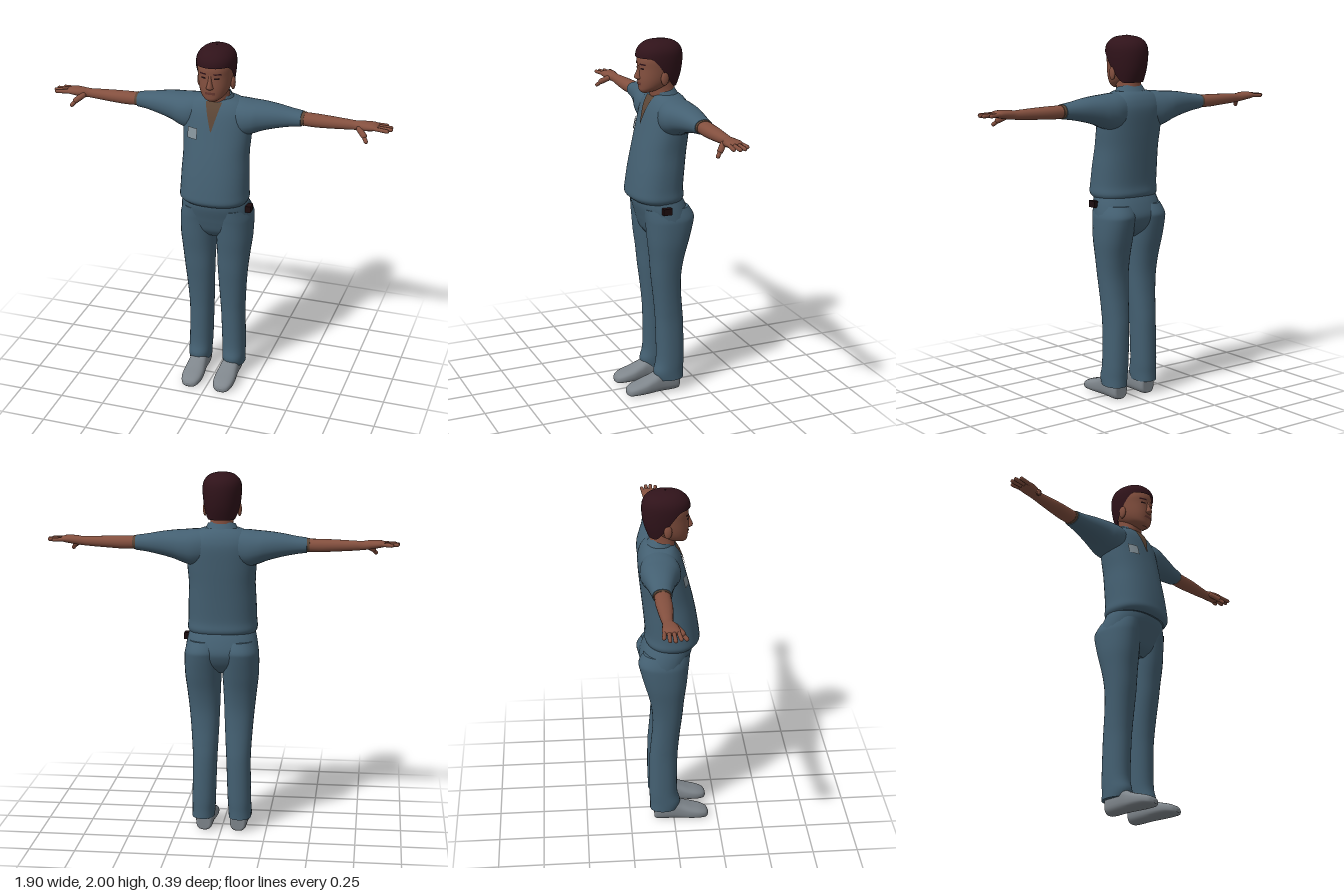
import * as THREE from 'three';

const mat = (name, color, side = THREE.FrontSide) => {
  const m = new THREE.MeshStandardMaterial({ color, side });
  m.name = name;
  return m;
};

// Densify cross-section rows with a Catmull-Rom curve
function smooth(rows, k = 5) {
  const out = [];
  const at = i => rows[Math.min(rows.length - 1, Math.max(0, i))];
  for (let i = 0; i < rows.length - 1; i++)
    for (let s = 0; s < k; s++) {
      const t = s / k, [a, b, c, d] = [at(i - 1), at(i), at(i + 1), at(i + 2)];
      out.push(b.map((v, n) => 0.5 * (2 * v + (c[n] - a[n]) * t
        + (2 * a[n] - 5 * v + 4 * c[n] - d[n]) * t * t + (3 * v - a[n] - 3 * c[n] + d[n]) * t * t * t)));
    }
  out.push(rows[rows.length - 1]);
  return out;
}

// Linear lookup of a row by its first value
function sample(rows, v) {
  let i = 0;
  while (i < rows.length - 2 && rows[i + 1][0] < v) i++;
  const a = rows[i], b = rows[i + 1], t = THREE.MathUtils.clamp((v - a[0]) / (b[0] - a[0]), 0, 1);
  return a.map((x, n) => x + (b[n] - x) * t);
}

// Point on a superellipse section; row = [position, a0, a1, b0, b1]
function ringPoint([v, a0, a1, b0, b1], th, axis, p) {
  const c = Math.cos(th), s = Math.sin(th), e = 2 / p;
  const a = (a0 + a1) / 2 + (a1 - a0) / 2 * Math.sign(c) * Math.abs(c) ** e;
  const k = (axis === 'y' ? 1 : -1) * Math.sign(s) * Math.abs(s) ** e;
  const b = (b0 + b1) / 2 + (b1 - b0) / 2 * k;
  return axis === 'y' ? [a, v, b] : axis === 'x' ? [v, a, b] : [a, Math.max(0, b), v];
}

// Skin a grid of points; each ring runs round and wraps
function skin(rings, caps = true) {
  const n = rings[0].length, pos = rings.flat(2), idx = [];
  for (let i = 0; i < rings.length - 1; i++)
    for (let j = 0; j < n; j++) {
      const a = i * n + j, b = i * n + (j + 1) % n;
      idx.push(a, a + n, b, b, a + n, b + n);
    }
  if (caps) [rings[0], rings[rings.length - 1]].forEach((ring, end) => {
    const base = pos.length / 3;
    const mid = [0, 1, 2].map(k => ring.reduce((s, q) => s + q[k], 0) / n);
    pos.push(...ring.flat(), ...mid);
    for (let j = 0; j < n; j++) {
      const a = base + j, b = base + (j + 1) % n;
      idx.push(...(end ? [a, base + n, b] : [a, b, base + n]));
    }
  });
  const g = new THREE.BufferGeometry();
  g.setAttribute('position', new THREE.Float32BufferAttribute(pos, 3));
  g.setIndex(idx);
  g.computeVertexNormals();
  return g;
}

const angles = n => Array.from({ length: n }, (_, j) => j / n * Math.PI * 2);
const loft = (rows, axis = 'y', p = 2.2, n = 28) =>
  skin(smooth(rows).map(r => angles(n).map(th => ringPoint(r, th, axis, p))));

// Rounded rod between two points
function rod(from, to, r) {
  const a = new THREE.Vector3(...from), b = new THREE.Vector3(...to), d = b.clone().sub(a);
  const g = new THREE.CapsuleGeometry(r, d.length(), 4, 10);
  g.applyQuaternion(new THREE.Quaternion().setFromUnitVectors(new THREE.Vector3(0, 1, 0), d.clone().normalize()));
  return g.translate(...a.add(b).multiplyScalar(0.5).toArray());
}

const ball = (x, y, z, sx, sy, sz) => new THREE.SphereGeometry(1, 16, 12).scale(sx, sy, sz).translate(x, y, z);

// Thin patch lying on the front of a lofted body
function frontPatch(rows, p, y0, y1, left, right, lift) {
  const dense = smooth(rows), g = new THREE.PlaneGeometry(1, 1, 8, 10), q = g.attributes.position;
  for (let i = 0; i < q.count; i++) {
    const t = q.getY(i) + 0.5, y = y0 + (y1 - y0) * t;
    const x = left(t) + (right(t) - left(t)) * (q.getX(i) + 0.5);
    const [, , hx, zb, zf] = sample(dense, y);
    const z = (zb + zf) / 2 + (zf - zb) / 2 * (1 - Math.min(1, Math.abs(x / hx)) ** p) ** (1 / p);
    q.setXYZ(i, x, y, z + lift);
  }
  g.computeVertexNormals();
  return g;
}

export function createModel() {
  const root = new THREE.Group();
  root.name = 'standingMan';
  const cloth = mat('blue cloth', 0x446072, THREE.DoubleSide);
  const skinTone = mat('brown skin', 0x84503f);
  const hairCol = mat('dark hair', 0x30131a, THREE.DoubleSide);
  const shoeCol = mat('grey shoe', 0x7f868c);
  const under = mat('olive undershirt', 0x5c4636, THREE.DoubleSide);
  const badgeCol = mat('pale badge', 0x84929a, THREE.DoubleSide);
  const black = mat('black plastic', 0x1c0c0e);
  const lipCol = mat('dark lip', 0x6a3a32, THREE.DoubleSide);

  const add = (name, geo, m) => {
    const mesh = new THREE.Mesh(geo, m);
    mesh.name = name;
    root.add(mesh);
  };
  // Adds a part on the +x side and its mirror image
  const pair = (name, geo, m) => {
    add(name + 'Left', geo, m);
    const g = geo.clone().scale(-1, 1, 1), ix = g.index;
    for (let i = 0; i < ix.count; i += 3) {
      const t = ix.getX(i);
      ix.setX(i, ix.getX(i + 1));
      ix.setX(i + 1, t);
    }
    add(name + 'Right', g, m);
  };

  // Trousers
  add('hips', loft([[0.91, -0.1, 0.1, -0.1, 0.03], [0.95, -0.17, 0.17, -0.15, 0.062], [1.0, -0.2, 0.2, -0.178, 0.08],
    [1.04, -0.2, 0.2, -0.184, 0.092], [1.1, -0.19, 0.19, -0.165, 0.11], [1.15, -0.175, 0.175, -0.14, 0.115]]), cloth);
  pair('trouserLeg', loft([[0.075, 0.04, 0.165, -0.137, 0.02], [0.12, 0.037, 0.165, -0.137, 0.035], [0.2, 0.033, 0.164, -0.14, 0.018],
    [0.4, 0.026, 0.161, -0.138, 0.02], [0.5, 0.021, 0.165, -0.13, 0.026], [0.6, 0.016, 0.172, -0.121, 0.036],
    [0.7, 0.012, 0.181, -0.12, 0.048], [0.8, 0.008, 0.192, -0.135, 0.057], [0.9, 0.003, 0.203, -0.162, 0.07],
    [1.0, 0, 0.204, -0.188, 0.08], [1.04, 0, 0.199, -0.192, 0.085], [1.09, 0.01, 0.18, -0.165, 0.09]]), cloth);

  // Shoes
  pair('shoe', loft([[-0.112, 0.075, 0.115, 0.02, 0.08], [-0.1, 0.05, 0.14, 0, 0.11], [0, 0.045, 0.146, 0, 0.118],
    [0.05, 0.04, 0.15, 0, 0.098], [0.1, 0.035, 0.154, 0, 0.078], [0.15, 0.039, 0.15, 0, 0.062],
    [0.185, 0.055, 0.135, 0, 0.046], [0.198, 0.08, 0.11, 0.008, 0.028]], 'z', 2.7), shoeCol);

  // Tunic with sleeves and open collar
  const tunic = [[1.125, -0.178, 0.178, -0.142, 0.122], [1.15, -0.191, 0.191, -0.155, 0.145], [1.2, -0.188, 0.188, -0.152, 0.142],
    [1.3, -0.185, 0.185, -0.16, 0.126], [1.4, -0.181, 0.181, -0.17, 0.105], [1.5, -0.187, 0.187, -0.18, 0.08],
    [1.6, -0.19, 0.19, -0.187, 0.054], [1.65, -0.18, 0.18, -0.178, 0.036], [1.685, -0.145, 0.145, -0.158, 0.016],
    [1.705, -0.095, 0.095, -0.135, 0.0]];
  add('tunic', loft(tunic, 'y', 2.3, 40), cloth);
  pair('sleeve', loft([[0.06, 1.52, 1.7, -0.165, 0.005], [0.14, 1.5, 1.698, -0.182, 0.03], [0.2, 1.515, 1.693, -0.182, 0.028],
    [0.25, 1.535, 1.69, -0.174, 0.012], [0.32, 1.555, 1.682, -0.16, -0.008], [0.4, 1.572, 1.668, -0.145, -0.028],
    [0.46, 1.58, 1.66, -0.137, -0.036]], 'x'), cloth);
  pair('sleeveLining', loft([[0.45, 1.583, 1.658, -0.134, -0.039], [0.475, 1.585, 1.656, -0.132, -0.042]], 'x'), under);
  add('collar', new THREE.CylinderGeometry(0.074, 0.1, 0.055, 32, 2, true, 0.55, Math.PI * 2 - 1.1)
    .scale(1, 1, 0.8).rotateX(0.22).translate(0, 1.7, -0.062), cloth);
  add('neckOpening', frontPatch(tunic, 2.3, 1.545, 1.695, t => -0.002 - 0.043 * t, t => 0.002 + 0.043 * t, 0.006), under);

  // Chest badge and belt pager
  add('chestBadge', frontPatch(tunic, 2.3, 1.495, 1.553, () => -0.135, () => -0.076, 0.008), badgeCol);
  add('beltPager', new THREE.BoxGeometry(0.03, 0.036, 0.05).translate(0.197, 1.095, 0), black);

  // Forearms and hands
  pair('forearm', loft([[0.42, 1.588, 1.654, -0.128, -0.046], [0.52, 1.584, 1.654, -0.128, -0.042], [0.6, 1.588, 1.652, -0.123, -0.042],
    [0.7, 1.594, 1.648, -0.113, -0.05], [0.75, 1.598, 1.646, -0.108, -0.052], [0.79, 1.602, 1.65, -0.111, -0.035],
    [0.84, 1.61, 1.651, -0.116, -0.026], [0.865, 1.616, 1.645, -0.112, -0.03], [0.875, 1.624, 1.638, -0.1, -0.042]], 'x', 2.2, 20), skinTone);
  [[-0.104, -0.11, 0.908], [-0.083, -0.084, 0.936], [-0.06, -0.057, 0.94], [-0.038, -0.029, 0.925]].forEach(([z0, z1, x], i) =>
    pair('finger' + (i + 1), rod([0.85, 1.631, z0], [x, 1.628, z1], 0.0105), skinTone));
  pair('thumbBase', rod([0.775, 1.617, -0.045], [0.808, 1.594, -0.014], 0.016), skinTone);
  pair('thumbTip', rod([0.805, 1.594, -0.016], [0.824, 1.572, 0.006], 0.011), skinTone);

  // Neck and head
  add('neck', loft([[1.64, -0.07, 0.07, -0.125, 0.005], [1.7, -0.066, 0.066, -0.122, 0.012], [1.74, -0.062, 0.062, -0.12, 0.018],
    [1.8, -0.062, 0.062, -0.12, 0.03]]), skinTone);
  const face = [[1.715, -0.022, 0.022, 0.025, 0.064], [1.728, -0.046, 0.046, -0.02, 0.076], [1.75, -0.068, 0.068, -0.07, 0.08],
    [1.79, -0.084, 0.084, -0.115, 0.084], [1.85, -0.093, 0.093, -0.14, 0.083], [1.9, -0.096, 0.096, -0.145, 0.084],
    [1.95, -0.085, 0.085, -0.13, 0.065], [1.975, -0.05, 0.05, -0.09, 0.02]];
  add('head', loft(face, 'y', 2.2, 36), skinTone);
  add('nose', loft([[1.789, -0.012, 0.012, 0.06, 0.094], [1.797, -0.02, 0.02, 0.06, 0.105], [1.81, -0.016, 0.016, 0.06, 0.106],
    [1.84, -0.01, 0.01, 0.06, 0.093], [1.868, -0.009, 0.009, 0.06, 0.084]], 'y', 2, 16), skinTone);
  add('mouth', frontPatch(face, 2.2, 1.76, 1.774, () => -0.028, () => 0.028, 0.003), lipCol);
  pair('eye', frontPatch(face, 2.2, 1.846, 1.855, () => 0.024, () => 0.05, 0.002), black);
  pair('eyebrow', frontPatch(face, 2.2, 1.87, 1.878, () => 0.02, () => 0.06, 0.003), hairCol);
  pair('ear', ball(0.093, 1.8, -0.03, 0.012, 0.038, 0.022), skinTone);

  // Short hair, with its edge rising from nape to forehead
  const hair = smooth([[1.74, -0.075, 0.075, -0.125, 0.01], [1.8, -0.093, 0.093, -0.148, 0.07], [1.85, -0.101, 0.101, -0.159, 0.088],
    [1.9, -0.105, 0.105, -0.163, 0.094], [1.94, -0.102, 0.102, -0.158, 0.089], [1.97, -0.085, 0.085, -0.139, 0.066],
    [1.99, -0.055, 0.055, -0.103, 0.032], [2.0, -0.004, 0.004, -0.04, -0.032]]);
  const rings = [];
  for (let i = 0; i <= 20; i++)
    rings.push(angles(40).map(th => {
      const low = 1.75 + 0.158 * THREE.MathUtils.smoothstep(Math.sin(th), -0.5, 0.65);
      return ringPoint(sample(hair, low + (2 - low) * Math.sin(i / 20 * Math.PI / 2)), th, 'y', 2.1);
    }));
  add('hair', skin(rings, false), hairCol);
  return root;
}
